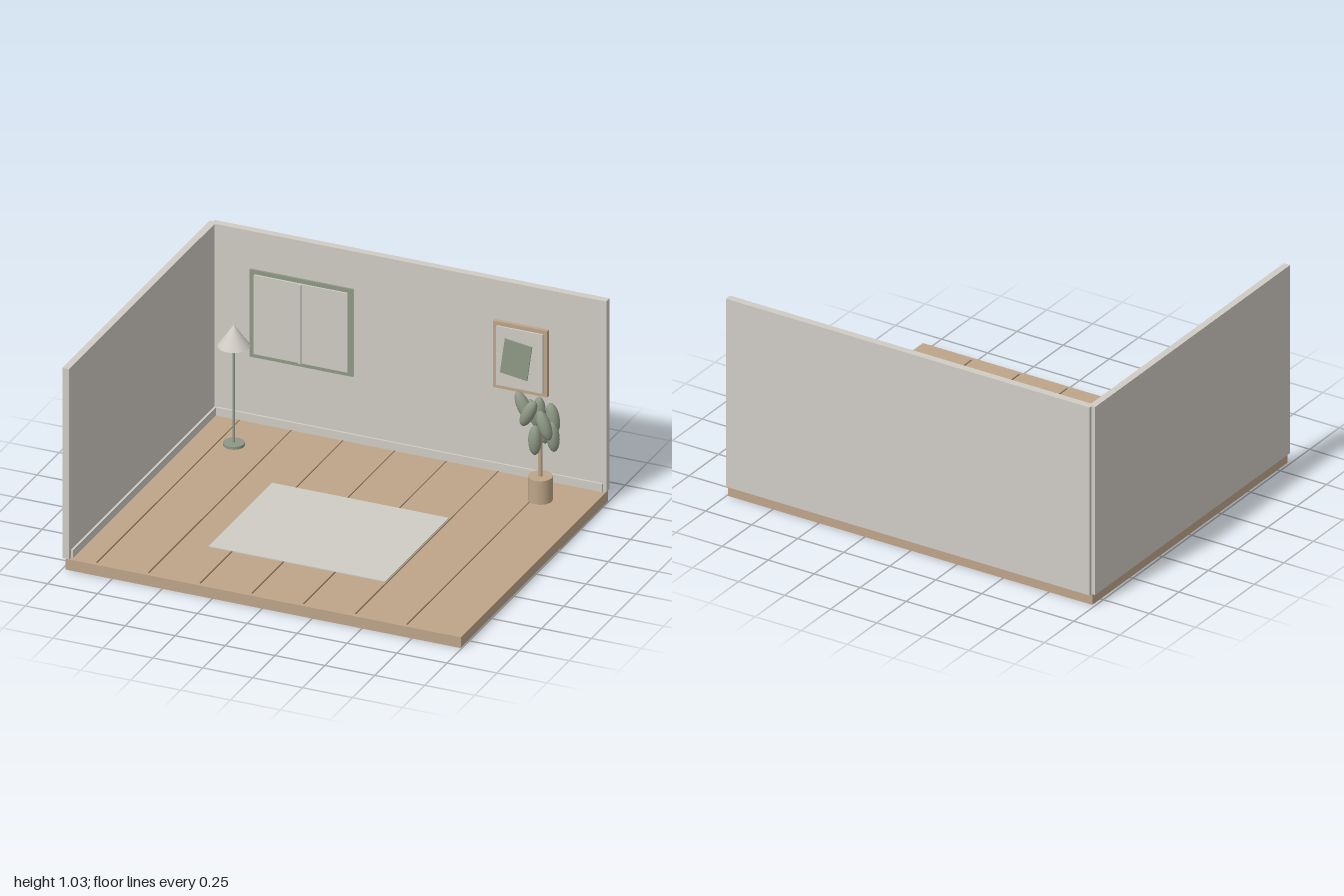
import * as THREE from 'three';

const material = (name, color) => {
  const m = new THREE.MeshStandardMaterial({ color });
  m.name = name;
  return m;
};

export function createModel() {
  const room = new THREE.Group();
  room.name = 'room';
  const plaster = material('warm grey plaster', 0xcfcbc4);
  const wood = material('light wood', 0xbda488);
  const sage = material('sage green', 0x8e9885);
  const seam = material('dark seam', 0x7d6a52);

  const add = (name, geometry, mat, x, y, z, parent = room) => {
    const mesh = new THREE.Mesh(geometry, mat);
    mesh.name = name;
    mesh.position.set(x, y, z);
    parent.add(mesh);
    return mesh;
  };
  // Box given by its lower and upper corner
  const box = (name, mat, [x0, y0, z0], [x1, y1, z1], parent) =>
    add(name, new THREE.BoxGeometry(x1 - x0, y1 - y0, z1 - z0), mat,
      (x0 + x1) / 2, (y0 + y1) / 2, (z0 + z1) / 2, parent);
  const group = (name) => {
    const g = new THREE.Group();
    g.name = name;
    room.add(g);
    return g;
  };

  // Floor, plank seams and rug
  const top = 0.055;
  box('floor', wood, [-0.985, 0, -0.82], [0.995, top, 0.834]);
  const seams = group('plankSeams');
  for (let i = 0; i < 7; i++) {
    const x = -0.837 + i * 0.259;
    box('plankSeam', seam, [x - 0.003, top, -0.8], [x + 0.003, top + 0.002, 0.813], seams);
  }
  box('rug', plaster, [-0.435, top, -0.255], [0.45, top + 0.005, 0.458]);

  // Walls and baseboards
  box('backWall', plaster, [-0.982, top, -0.837], [0.995, 1.027, -0.8]);
  box('leftWall', plaster, [-1, top, -0.82], [-0.966, 1.027, 0.834]);
  box('backBaseboard', plaster, [-0.955, top, -0.8], [0.978, 0.096, -0.79]);
  box('sideBaseboard', plaster, [-0.966, top, -0.8], [-0.955, 0.096, 0.816]);

  // Window: frame board, raised pane and mullion
  const win = group('window');
  box('windowFrame', sage, [-0.787, 0.39, -0.8], [-0.27, 0.836, -0.79], win);
  box('windowPane', plaster, [-0.763, 0.411, -0.79], [-0.294, 0.815, -0.782], win);
  box('mullion', plaster, [-0.536, 0.411, -0.782], [-0.523, 0.815, -0.772], win);

  // Framed picture with a tilted print
  const picture = group('picture');
  box('pictureFrame', wood, [0.437, 0.487, -0.8], [0.708, 0.826, -0.78], picture);
  box('pictureMount', plaster, [0.456, 0.506, -0.78], [0.689, 0.807, -0.772], picture);
  add('print', new THREE.BoxGeometry(0.137, 0.178, 0.006), sage, 0.557, 0.656, -0.769, picture)
    .rotation.z = -0.137;

  // Floor lamp
  const lamp = group('floorLamp');
  lamp.position.set(-0.757, 0, -0.547);
  add('lampBase', new THREE.CylinderGeometry(0.05, 0.05, 0.014, 32), sage, 0, 0.062, 0, lamp);
  add('lampPole', new THREE.CylinderGeometry(0.006, 0.006, 0.5, 16), sage, 0, 0.319, 0, lamp);
  add('lampShade', new THREE.ConeGeometry(0.076, 0.108, 32), plaster, 0, 0.616, 0, lamp);

  // Potted plant
  const plant = group('plant');
  add('pot', new THREE.CylinderGeometry(0.057, 0.057, 0.12, 32), wood, 0.75, 0.115, -0.608, plant);
  add('stem', new THREE.CylinderGeometry(0.01, 0.01, 0.27, 16), wood, 0.75, 0.305, -0.608, plant);
  const leaf = new THREE.SphereGeometry(1, 20, 14).scale(0.031, 0.074, 0.031);
  // Each leaf: x, y, z, sideways tilt
  const leaves = [
    [0.813, 0.387, -0.608, 0.1], [0.79, 0.46, -0.563, 0.35], [0.75, 0.385, -0.547, 0],
    [0.715, 0.512, -0.553, -0.45], [0.667, 0.517, -0.605, 0.45], [0.7, 0.46, -0.655, 0.4],
    [0.745, 0.385, -0.674, 0], [0.79, 0.455, -0.66, 0.2],
    [0.752, 0.512, -0.59, 0],
  ];
  for (const [x, y, z, tilt] of leaves) add('leaf', leaf, sage, x, y, z, plant).rotation.z = tilt;

  return room;
}
